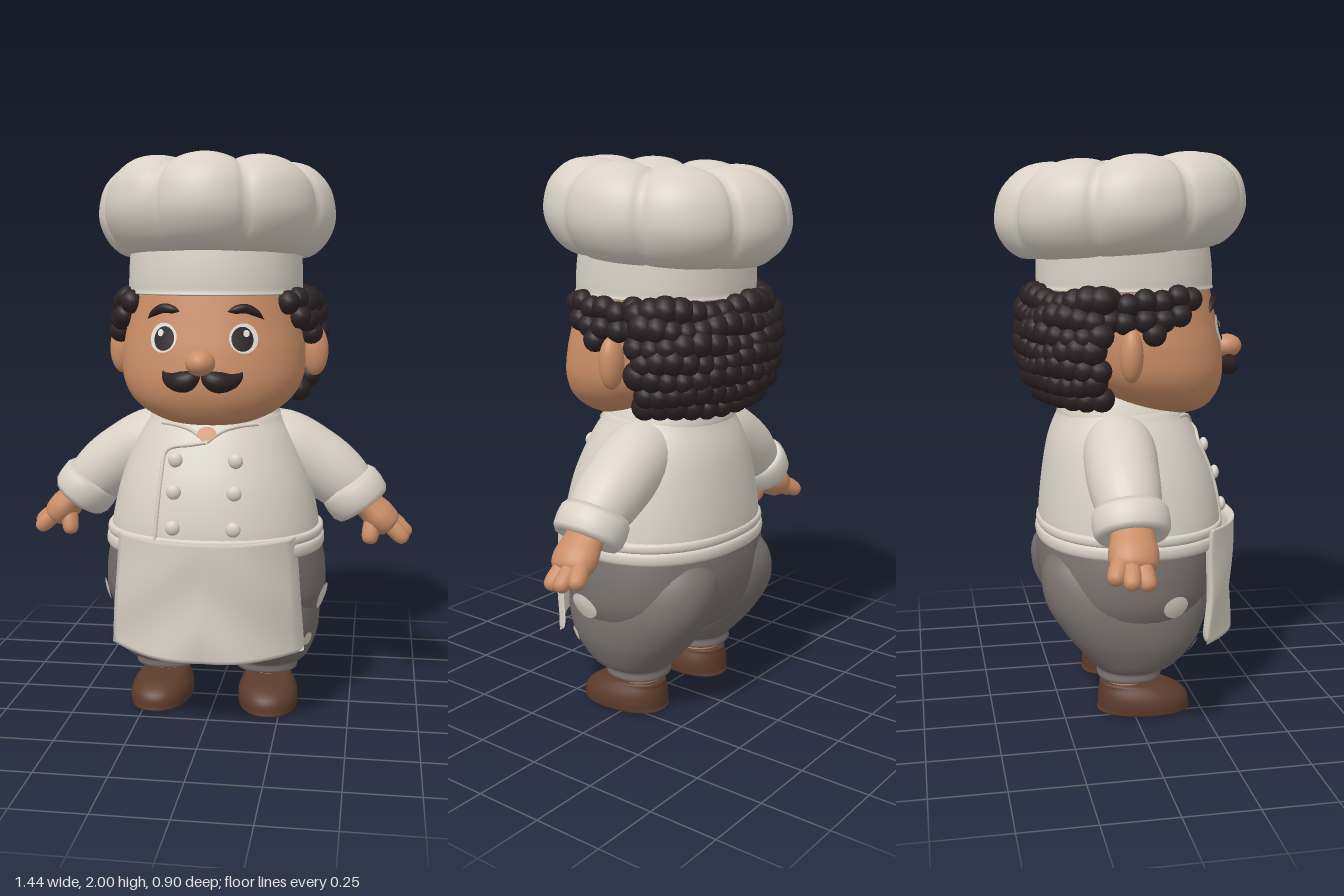
import * as THREE from 'three';
import { mergeVertices, mergeGeometries } from 'three/addons/utils/BufferGeometryUtils.js';

const E = 0.9; // roundness of every body cross-section
const mat = (name, color, side = THREE.FrontSide) => {
  const m = new THREE.MeshStandardMaterial({ color, side });
  m.name = name;
  return m;
};

// Smooth interpolation through rows of numbers, t in 0..1
function spline(rows, t) {
  const n = rows.length - 1, s = t * n, i = Math.min(Math.floor(s), n - 1), f = s - i;
  const a = rows[i], b = rows[i + 1], p = rows[i - 1] || a, q = rows[i + 2] || b;
  return a.map((_, k) => {
    const m0 = (b[k] - p[k]) / 2, m1 = (q[k] - a[k]) / 2, d = b[k] - a[k];
    return a[k] + f * (m0 + f * (3 * d - 2 * m0 - m1 + f * (m0 + m1 - 2 * d)));
  });
}

// Grid surface from fn(u, v) -> [x, y, z]
function surface(fn, nu, nv, closed = true) {
  const pos = [], index = [], w = closed ? nu : nu + 1;
  for (let j = 0; j <= nv; j++) for (let i = 0; i < w; i++) pos.push(...fn(i / nu, j / nv));
  for (let j = 0; j < nv; j++) for (let i = 0; i < nu; i++) {
    const k = (i + 1) % w, a = j * w + i, b = j * w + k, c = b + w, d = a + w;
    index.push(a, b, c, a, c, d);
  }
  let g = new THREE.BufferGeometry();
  g.setAttribute('position', new THREE.Float32BufferAttribute(pos, 3));
  g.setIndex(index);
  g = mergeVertices(g, 1e-5);
  g.computeVertexNormals();
  return g;
}

// Horizontal cross-sections: row = [y, half width, front z, back z, centre x]
const pw = (c) => Math.sign(c) * Math.abs(c) ** E;
function onRow([y, rx, zf, zb, xc = 0], a) {
  return [xc + rx * pw(Math.sin(a)), y, (zf + zb) / 2 + (zf - zb) / 2 * pw(Math.cos(a))];
}
function loft(rows, nv = 28, a0 = 0, a1 = Math.PI * 2) {
  const closed = a1 - a0 > 6.28;
  return surface((u, v) => onRow(spline(rows, v), a0 + (a1 - a0) * u), 48, nv, closed);
}
function rowAt(rows, y) {
  let lo = 0, hi = 1;
  for (let i = 0; i < 30; i++) {
    const m = (lo + hi) / 2;
    if (spline(rows, m)[0] < y) lo = m; else hi = m;
  }
  return spline(rows, lo);
}
function frontZ(rows, x, y) {
  const [, rx, zf, zb] = rowAt(rows, y);
  return (zf + zb) / 2 + (zf - zb) / 2 * Math.max(0, 1 - Math.abs(x / rx) ** (2 / E)) ** (E / 2);
}
// Thin oval painted onto a loft at angle a, height y
function decal(rows, a, y, ra, ry, lift = 0.006) {
  return surface((u, v) => {
    const t = u * Math.PI * 2, r = 1 - v, b = a + ra * r * Math.cos(t);
    const p = onRow(rowAt(rows, y + ry * r * Math.sin(t)), b);
    return [p[0] + lift * Math.sin(b), p[1], p[2] + lift * Math.cos(b)];
  }, 24, 5);
}
// Tube of changing radius along rows [x, y, z, r]; k stretches it along ref
function sweep(rows, k = 1, nu = 18, nv = 24, ref = new THREE.Vector3(0, 0, 1)) {
  return surface((u, v) => {
    const c = spline(rows, v), p = spline(rows, Math.max(0, v - 0.01)), q = spline(rows, Math.min(1, v + 0.01));
    const T = new THREE.Vector3(q[0] - p[0], q[1] - p[1], q[2] - p[2]).normalize();
    const S = ref.clone().cross(T).normalize(), U = T.clone().cross(S), t = u * Math.PI * 2;
    const o = S.multiplyScalar(c[3] * Math.cos(t)).addScaledVector(U, c[3] * k * Math.sin(t));
    return [c[0] + o.x, c[1] + o.y, c[2] + o.z];
  }, nu, nv);
}
function ball(x, y, z, sx, sy = sx, sz = sx, n = 24) {
  return new THREE.SphereGeometry(1, n, Math.ceil(n * 0.66)).scale(sx, sy, sz).translate(x, y, z);
}
function mirrored(g) {
  const m = g.clone().scale(-1, 1, 1), ix = m.index.array;
  for (let i = 0; i < ix.length; i += 3) [ix[i], ix[i + 1]] = [ix[i + 1], ix[i]];
  return m;
}

export function createModel() {
  const model = new THREE.Group();
  const cream = mat('cream cloth', 0xd9d1c5, THREE.DoubleSide), skin = mat('skin', 0xcb8e67);
  const hair = mat('dark hair', 0x2b2123, THREE.DoubleSide), grey = mat('grey trousers', 0x79706d);
  const brown = mat('brown leather', 0x5c3b2b), white = mat('eye white', 0xe4e1dc);
  const add = (name, g, m) => {
    const mesh = new THREE.Mesh(g, m);
    mesh.name = name;
    model.add(mesh);
  };
  const pair = (name, g, m) => { add(name + 'Left', g, m); add(name + 'Right', mirrored(g), m); };

  // Head, ears and nose
  const head = [[1.065, 0, 0.16, 0.16], [1.082, 0.15, 0.285, 0], [1.14, 0.262, 0.34, -0.1], [1.22, 0.317, 0.362, -0.2],
    [1.32, 0.325, 0.355, -0.25], [1.42, 0.312, 0.335, -0.27], [1.54, 0.295, 0.31, -0.27]];
  add('head', loft(head, 36), skin);
  pair('ear', ball(0.355, 1.315, -0.03, 0.048, 0.092, 0.04), skin);
  add('nose', ball(0, 1.302, 0.397, 0.05, 0.043, 0.054), skin);

  // Eyes, brows and moustache
  pair('eyeWhite', decal(head, 0.4, 1.38, 0.16, 0.05, 0.005), white);
  pair('pupil', decal(head, 0.38, 1.378, 0.118, 0.041, 0.009), hair);
  pair('eyeGlint', decal(head, 0.42, 1.397, 0.035, 0.012, 0.012), white);
  const brow = [[0.08, 1.468, 0], [0.105, 1.474, 0.013], [0.14, 1.478, 0.016], [0.175, 1.462, 0.012], [0.2, 1.44, 0]];
  pair('eyebrow', sweep(brow.map(([x, y, r]) => [x, y, frontZ(head, x, y) + 0.004, r])), hair);
  pair('moustache', sweep([[0, 1.262, 0.385, 0], [0.025, 1.25, 0.395, 0.027], [0.06, 1.238, 0.388, 0.036],
    [0.1, 1.24, 0.37, 0.027], [0.125, 1.255, 0.355, 0.014], [0.135, 1.272, 0.35, 0]]), hair);

  // Curly hair: a backing shell, rows of curls round the back, tufts above the ears
  const hairShape = [[1.125, 0.2, 0.1, -0.2], [1.16, 0.29, 0.17, -0.285], [1.22, 0.34, 0.2, -0.325], [1.32, 0.362, 0.22, -0.345],
    [1.42, 0.362, 0.22, -0.34], [1.52, 0.335, 0.2, -0.305]];
  add('hairBase', loft(hairShape.map(([y, x, f, b]) => [y, x - 0.01, f, b + 0.01]), 16, 1.75, Math.PI * 2 - 1.75), hair);
  const curls = [];
  for (let j = 0; j < 7; j++) {
    const y = 1.165 + j * 0.054, n = j < 1 ? 13 : 16, a0 = 1.8 + (j % 2) * 0.08;
    for (let i = 0; i < n; i++) {
      const a = a0 + (Math.PI * 2 - 2 * a0) * i / (n - 1), p = onRow(rowAt(hairShape, y), a);
      const w = Math.sin(i * 7.3 + j * 4.1);
      curls.push(ball(p[0], p[1] + w * 0.009, p[2], 0.047 + w * 0.005, undefined, undefined, 12));
    }
  }
  const tufts = [[0.19, 1.495], [0.14, 1.505], [0.145, 1.445], [0.08, 1.49], [0.085, 1.43], [0.05, 1.385], [0.02, 1.495],
    [0.02, 1.43], [-0.04, 1.48], [-0.05, 1.425], [-0.1, 1.5], [-0.1, 1.43]];
  for (const [z, y] of tufts) {
    const [, rx, zf, zb] = rowAt(head, y), c = (z - (zf + zb) / 2) / ((zf - zb) / 2);
    const x = rx * (1 - Math.abs(c) ** (2 / E)) ** (E / 2) + 0.012 + (0.19 - z) * 0.11;
    for (const s of [1, -1]) curls.push(ball(s * x, y, z, 0.042, undefined, undefined, 12));
  }
  add('hairCurls', mergeGeometries(curls), hair);

  // Hat: straight band and an eight-lobed puff, tilted up at the front
  add('hatBand', loft([[1.518, 0.2, 0.2, -0.2], [1.52, 0.303, 0.315, -0.298], [1.54, 0.31, 0.322, -0.304], [1.62, 0.308, 0.318, -0.304],
    [1.74, 0.3, 0.3, -0.3]]), cream);
  const puff = [[0.27, 1.685], [0.34, 1.648], [0.405, 1.685], [0.445, 1.755], [0.447, 1.825], [0.42, 1.9], [0.35, 1.96],
    [0.25, 1.976], [0.15, 1.95], [0.06, 1.925], [0, 1.92]];
  add('hatPuff', surface((u, v) => {
    const a = u * Math.PI * 2, [r, y] = spline(puff, v), lobe = Math.sqrt(Math.abs(Math.cos(4 * a)) + 0.02) - 1;
    const k = Math.min(1, r / 0.3), R = r * (1 + 0.095 * lobe * k), z = R * Math.cos(a);
    const top = v > 0.4 ? 0.035 * lobe * k * Math.min(1, (v - 0.4) * 4) : 0;
    return [R * Math.sin(a) * 0.94, y + top + 0.07 * z, z];
  }, 128, 40), cream);

  // Jacket with collar, front flap seam and buttons
  const jacket = [[0.63, 0.385, 0.36, -0.305], [0.72, 0.375, 0.357, -0.305], [0.85, 0.345, 0.33, -0.292], [0.97, 0.3, 0.283, -0.272],
    [1.06, 0.25, 0.235, -0.24], [1.11, 0.2, 0.19, -0.21], [1.13, 0, 0, -0.1]];
  add('jacket', loft(jacket), cream);
  add('collar', loft([[1.05, 0.235, 0.222, -0.23], [1.08, 0.236, 0.222, -0.235], [1.13, 0.215, 0.185, -0.225],
    [1.17, 0.19, 0.14, -0.21]]), cream);
  add('throat', decal(jacket, 0, 1.045, 0.1, 0.022, 0.012), skin);
  const trim = (pts) => sweep(pts.map(([x, y]) => [x, y, frontZ(jacket, x, y) + 0.002, 0.007]), 1, 8, 24, new THREE.Vector3(0.3, 0.2, 1));
  add('flapSeam', trim([[-0.17, 0.68], [-0.162, 0.8], [-0.155, 0.9], [-0.148, 0.97], [-0.12, 0.995], [-0.06, 1.005], [0, 1.015]]), cream);
  pair('collarEdge', trim([[0, 1.015], [0.05, 1.05], [0.1, 1.065], [0.17, 1.07]]), cream);
  for (const y of [0.955, 0.85, 0.73]) {
    pair('button', ball(0.105, y, frontZ(jacket, 0.105, y) + 0.008, 0.026, 0.026, 0.016, 16), cream);
  }

  // Sleeves, rolled cuffs and hands
  pair('sleeve', sweep([[0.1, 0.99, -0.04, 0.09], [0.23, 0.975, -0.05, 0.122], [0.36, 0.905, -0.06, 0.122],
    [0.45, 0.84, -0.06, 0.112], [0.52, 0.77, -0.06, 0.09]], 1.02, 28), cream);
  const roll = [[0.085, -0.045], [0.115, -0.054], [0.128, -0.035], [0.131, 0], [0.128, 0.035], [0.115, 0.054], [0.09, 0.045], [0, 0.03]];
  const cuff = new THREE.LatheGeometry(roll.map(([x, y]) => new THREE.Vector2(x, y)), 32);
  pair('cuff', cuff.scale(0.9, 1, 1).rotateZ(-2.52).translate(0.505, 0.785, -0.06), cream);
  pair('palm', sweep([[0.51, 0.785, -0.06, 0.05], [0.56, 0.74, -0.065, 0.054], [0.6, 0.7, -0.07, 0.06],
    [0.635, 0.665, -0.075, 0.048], [0.65, 0.65, -0.075, 0]], 1.4), skin);
  const digits = [[0.692, 0.638, -0.15], [0.715, 0.625, -0.095], [0.7, 0.612, -0.035], [0.562, 0.605, -0.01]];
  digits.forEach(([x, y, z], i) => {
    const bx = i < 3 ? 0.61 : 0.575, by = 0.7, bz = -0.07 + (z + 0.07) * 0.5;
    const at = (f, r) => [bx + (x - bx) * f, by + (y - by) * f, bz + (z - bz) * f, r];
    pair(i < 3 ? 'finger' : 'thumb', sweep([at(0, 0.028), at(0.4, 0.032), at(0.75, 0.03), at(0.94, 0.02), at(1, 0)], 1, 12, 14), skin);
  });

  // Trousers: hips, ballooned legs and pale spots
  const hips = [[0.245, 0, 0, 0], [0.265, 0.16, 0.15, -0.12], [0.32, 0.33, 0.26, -0.23], [0.42, 0.398, 0.315, -0.293],
    [0.52, 0.405, 0.335, -0.315], [0.62, 0.388, 0.345, -0.31], [0.67, 0.37, 0.34, -0.295]];
  const leg = [[0.128, 0, 0, 0, 0.19], [0.13, 0.108, 0.1, -0.115, 0.19], [0.165, 0.112, 0.11, -0.12, 0.19],
    [0.185, 0.148, 0.155, -0.14, 0.188], [0.24, 0.178, 0.215, -0.19, 0.186], [0.31, 0.195, 0.255, -0.245, 0.188],
    [0.42, 0.195, 0.28, -0.308, 0.185], [0.54, 0.17, 0.25, -0.315, 0.17], [0.64, 0.12, 0.15, -0.25, 0.15]];
  add('hips', loft(hips), grey);
  pair('leg', loft(leg), grey);
  add('bigSpotLeft', decal(hips, 1.39, 0.43, 0.19, 0.046, 0.009), cream);
  add('bigSpotRight', decal(hips, -1.25, 0.44, 0.15, 0.04, 0.009), cream);
  add('smallSpotLeft', decal(leg, 0.95, 0.29, 0.12, 0.025), cream);
  add('smallSpotRight', mirrored(decal(leg, 0.5, 0.255, 0.12, 0.03)), cream);

  // Apron: double waist tie and a curved front cloth with soft folds
  for (const [y, h, g] of [[0.635, 0.024, 0], [0.674, 0.018, -0.004]]) {
    const ring = (dy, o) => [y + dy * h, 0.39 + g + o, 0.36 + g + o, -0.308 - g - o];
    add('waistTie', loft([ring(-1, -0.02), ring(-0.9, 0.004), ring(0, 0.01), ring(0.9, 0.004), ring(1, -0.02)], 14), cream);
  }
  add('apron', surface((u, v) => {
    const s = u < 0.5 ? u * 4 - 1 : 3 - u * 4, thick = 0.03 * Math.sqrt(Math.max(0, 1 - (2 * v - 1) ** 10));
    const x = s * (0.345 - 0.032 * v), drop = 0.012 * s * s * (1 - v);
    const fold = 0.007 * Math.sin(5 * Math.abs(s) + 7 * v) * (1 - v * v);
    const z = 0.25 + 0.15 * (1 - Math.abs(s) ** 2.5) + 0.015 * v + fold;
    return [x, 0.265 + drop + 0.425 * v, z - (u < 0.5 ? 0 : thick)];
  }, 80, 36), cream);

  // Ankles and shoes, toes turned slightly out
  pair('ankle', new THREE.CylinderGeometry(0.078, 0.075, 0.09, 24).translate(0.19, 0.11, -0.02), skin);
  const shoe = [[0, 0, 0.04, 0.04], [0.001, 0.095, 0.195, -0.11], [0.02, 0.11, 0.21, -0.12], [0.06, 0.108, 0.2, -0.12],
    [0.095, 0.09, 0.145, -0.115], [0.113, 0.07, 0.06, -0.105], [0.117, 0, -0.03, -0.03]];
  pair('shoe', loft(shoe).rotateY(0.1).translate(0.195, 0, 0), brown);
  return model;
}
